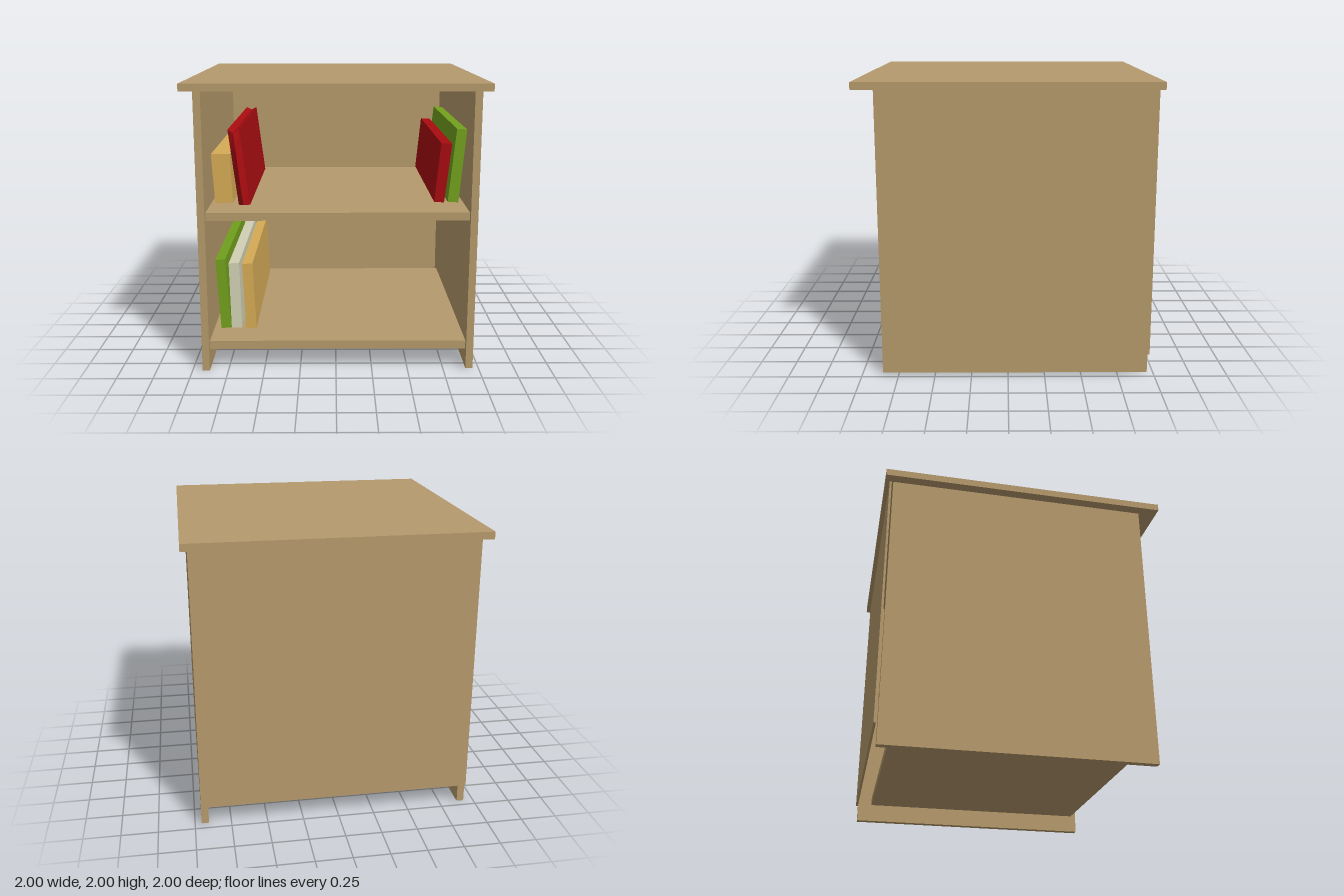
import * as THREE from 'three';

const mat = (color) => new THREE.MeshStandardMaterial({ color, flatShading: true, side: THREE.DoubleSide });

export function createModel() {
  const root = new THREE.Group();
  root.name = 'bookcase';
  const wood = mat(0xb69a6c), red = mat(0xa80c10), green = mat(0x72a01e);
  const yellow = mat(0xd6ab56), cream = mat(0xd3d2b6);

  const add = (name, geometry, material) => {
    const mesh = new THREE.Mesh(geometry, material);
    mesh.name = name;
    root.add(mesh);
    return mesh;
  };

  // Board given by its lower and upper corner
  const board = (name, [x0, y0, z0], [x1, y1, z1]) =>
    add(name, new THREE.BoxGeometry(x1 - x0, y1 - y0, z1 - z0), wood)
      .position.set((x0 + x1) / 2, (y0 + y1) / 2, (z0 + z1) / 2);

  // Carcass
  board('tabletop', [-1, 1.95, -1], [1, 2, 1]);
  board('rightPanel', [-0.93, 0, -0.945], [-0.88, 1.95, 0.87]);
  board('leftPanel', [0.905, 0.01, -0.955], [0.955, 1.95, 0.86]);
  board('backPanel', [-0.93, 0.14, -0.97], [0.955, 1.95, -0.955]);
  board('bottomShelf', [-0.88, 0.14, -0.85], [0.905, 0.2, 0.82]);
  board('middleShelf', [-0.88, 1.065, -0.85], [0.905, 1.12, 0.82]);

  // Leaning books: front outline pushed back into the shelf
  const zFront = 0.58, zBack = -0.78;
  const book = (name, material, corners) => {
    const shape = new THREE.Shape(corners.map(([x, y]) => new THREE.Vector2(x, y)));
    const geo = new THREE.ExtrudeGeometry(shape, { depth: zFront - zBack, bevelEnabled: false });
    add(name, geo.translate(0, 0, zBack), material);
  };
  book('upperYellowBook', yellow, [[-0.845, 1.13], [-0.72, 1.135], [-0.735, 1.48], [-0.865, 1.48]]);
  book('upperRedBook', red, [[0.69, 1.14], [0.76, 1.135], [0.805, 1.55], [0.73, 1.555]]);
  book('upperGreenBook', green, [[0.785, 1.14], [0.86, 1.135], [0.905, 1.65], [0.835, 1.655]]);
  book('lowerGreenBook', green, [[-0.83, 0.2], [-0.757, 0.205], [-0.79, 0.72], [-0.86, 0.715]]);
  book('lowerCreamBook', cream, [[-0.755, 0.205], [-0.68, 0.205], [-0.69, 0.695], [-0.765, 0.69]]);
  book('lowerYellowBook', yellow, [[-0.65, 0.2], [-0.575, 0.2], [-0.595, 0.69], [-0.67, 0.685]]);

  // Worn red book: ridged spine, notched top and bottom, leaning
  const h = 0.53, depth = zFront - zBack;
  const worn = new THREE.BoxGeometry(0.08, h, depth, 2, 4, 1);
  const p = worn.attributes.position;
  for (let i = 0; i < p.count; i++) {
    let x = p.getX(i), y = p.getY(i), z = p.getZ(i);
    const t = y / h + 0.5;
    if (Math.abs(x) < 0.01) {
      if (t > 0.99) y -= 0.02;
      if (t < 0.01) y += 0.015;
      if (z > 0) z += 0.07 - 0.05 * t * t;
    }
    p.setXYZ(i, x - 0.065 * (t - 0.5), y, z);
  }
  worn.computeVertexNormals();
  add('wornRedBook', worn, red).position.set(-0.673, 1.12 + h / 2, (zFront + zBack) / 2);

  return root;
}
